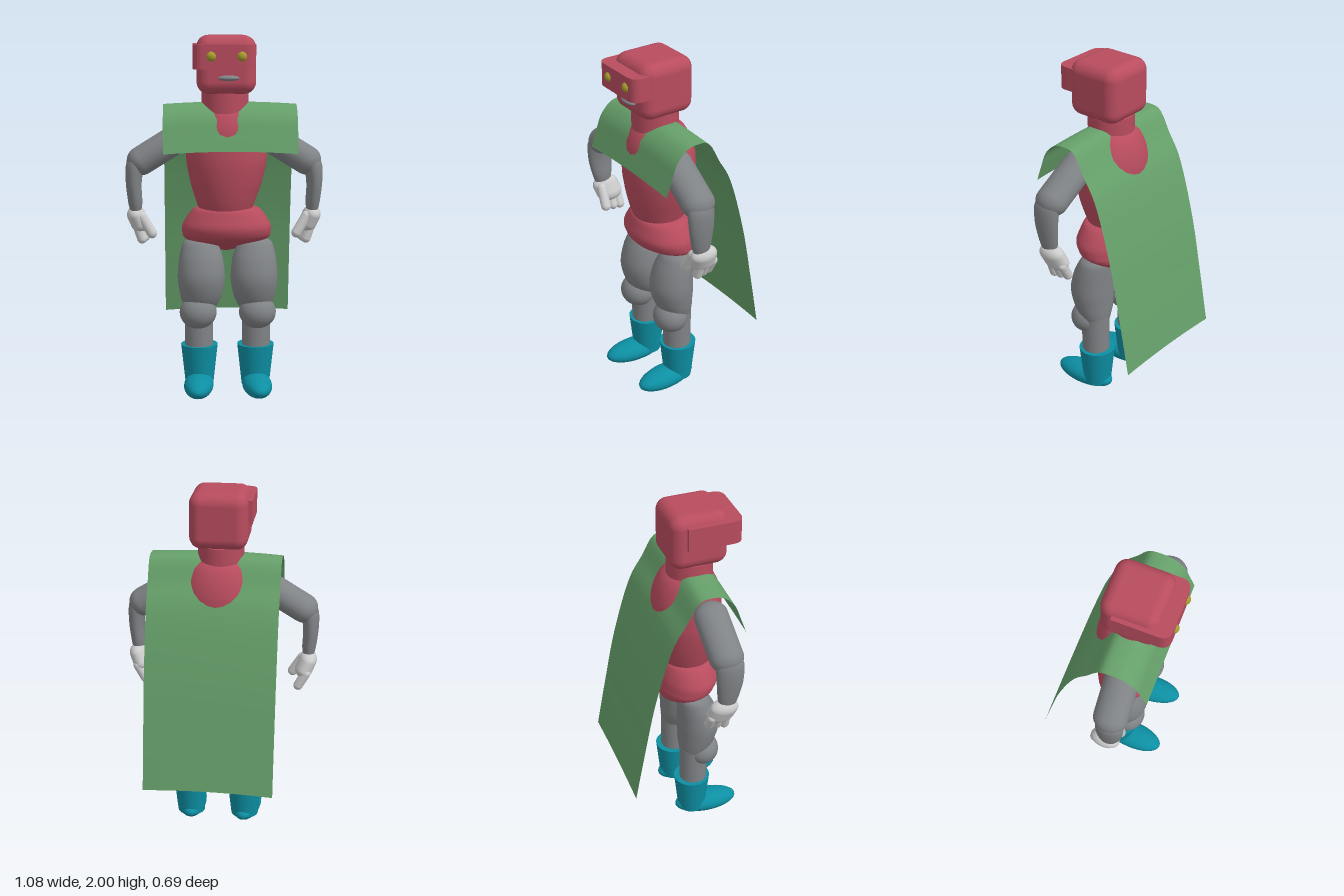
import * as THREE from 'three';
import { RoundedBoxGeometry } from 'three/addons/geometries/RoundedBoxGeometry.js';

const paint = (color, side = THREE.FrontSide) => new THREE.MeshStandardMaterial({ color, side });

// Smooth body through elliptical rings [y, cx, cz, rx, rz], listed bottom to top
function loft(rings, steps = 20, sides = 32) {
  const mid = new THREE.CatmullRomCurve3(rings.map(r => new THREE.Vector3(r[1], r[0], r[2])));
  const rad = new THREE.CatmullRomCurve3(rings.map(r => new THREE.Vector3(r[3], 0, r[4])));
  const pos = [], idx = [];
  for (let i = 0; i <= steps; i++) {
    const c = mid.getPoint(i / steps), r = rad.getPoint(i / steps);
    for (let j = 0; j < sides; j++) {
      const a = j / sides * Math.PI * 2;
      pos.push(c.x + Math.max(r.x, 0.001) * Math.cos(a), c.y, c.z + Math.max(r.z, 0.001) * Math.sin(a));
    }
  }
  for (let i = 0; i < steps; i++) {
    for (let j = 0; j < sides; j++) {
      const a = i * sides + j, b = i * sides + (j + 1) % sides;
      idx.push(a, a + sides, b, b, a + sides, b + sides);
    }
  }
  // end caps
  const n = pos.length / 3;
  const first = rings[0], last = rings[rings.length - 1];
  pos.push(first[1], first[0], first[2], last[1], last[0], last[2]);
  for (let j = 0; j < sides; j++) {
    const k = (j + 1) % sides;
    idx.push(n, j, k, n + 1, steps * sides + k, steps * sides + j);
  }
  const g = new THREE.BufferGeometry();
  g.setAttribute('position', new THREE.Float32BufferAttribute(pos, 3));
  g.setIndex(idx);
  g.computeVertexNormals();
  return g;
}

const ball = (x, y, z, rx, ry, rz) =>
  new THREE.SphereGeometry(1, 32, 20).scale(rx, ry, rz).translate(x, y, z);

// Capsule between two points, widened along z
function capsule(a, b, r, zScale = 1) {
  const p = new THREE.Vector3(...a), q = new THREE.Vector3(...b);
  const dir = q.clone().sub(p), c = p.clone().add(q).multiplyScalar(0.5);
  const turn = new THREE.Quaternion().setFromUnitVectors(new THREE.Vector3(0, 1, 0), dir.clone().normalize());
  return new THREE.CapsuleGeometry(r, dir.length(), 10, 24)
    .applyQuaternion(turn).scale(1, 1, zScale).translate(c.x, c.y, c.z);
}

export function createModel() {
  const model = new THREE.Group();
  model.name = 'capedFigure';
  const red = paint(0xb84c5e), grey = paint(0x808386), pale = paint(0xcccccc);
  const teal = paint(0x0d8fa3), gold = paint(0xa39a2c);
  const green = paint(0x66a06a, THREE.DoubleSide);
  const add = (name, geometry, material, parent = model) => {
    const mesh = new THREE.Mesh(geometry, material);
    mesh.name = name;
    parent.add(mesh);
    return mesh;
  };

  // Head, visor with rounded front corners, eyes and mouth
  add('head', new RoundedBoxGeometry(0.318, 0.31, 0.318, 6, 0.065).translate(0.01, 1.845, 0.1), red);
  const [x0, x1, z0, z1, r] = [-0.17, 0.165, 0.02, 0.328, 0.06];
  const plan = new THREE.Shape();
  plan.moveTo(x0, -z0);
  plan.lineTo(x0, -z1 + r);
  plan.quadraticCurveTo(x0, -z1, x0 + r, -z1);
  plan.lineTo(x1 - r, -z1);
  plan.quadraticCurveTo(x1, -z1, x1, -z1 + r);
  plan.lineTo(x1, -z0);
  const visor = new THREE.ExtrudeGeometry(plan, { depth: 0.13, bevelEnabled: false, curveSegments: 10 });
  add('visor', visor.rotateX(-Math.PI / 2).translate(0, 1.825, 0), red);
  for (const x of [-0.074, 0.088]) add('eye', ball(x, 1.893, 0.317, 0.028, 0.028, 0.028), gold);
  add('mouth', ball(0.02, 1.777, 0.265, 0.058, 0.015, 0.027), grey);

  // Neck, chest and hips
  add('neck', new THREE.CylinderGeometry(0.127, 0.127, 0.13, 32).translate(0.006, 1.63, 0.09), red);
  add('torso', loft([
    [1.03, 0.01, 0.075, 0.14, 0.13], [1.1, 0.01, 0.075, 0.165, 0.155], [1.2, 0.013, 0.075, 0.197, 0.178],
    [1.33, 0.015, 0.075, 0.222, 0.191], [1.43, 0.015, 0.075, 0.222, 0.188], [1.51, 0.015, 0.078, 0.2, 0.173],
    [1.58, 0.012, 0.08, 0.165, 0.14], [1.625, 0.01, 0.085, 0.11, 0.09], [1.64, 0.01, 0.085, 0.01, 0.01],
  ], 28), red);
  add('hips', loft([
    [0.8, 0.015, -0.03, 0.02, 0.015], [0.82, 0.015, -0.025, 0.11, 0.06], [0.86, 0.015, 0.02, 0.2, 0.12],
    [0.9, 0.015, 0.058, 0.243, 0.164], [0.95, 0.015, 0.073, 0.247, 0.172], [1.01, 0.015, 0.074, 0.218, 0.158],
    [1.055, 0.015, 0.075, 0.18, 0.14], [1.07, 0.015, 0.075, 0.12, 0.1],
  ], 28), red);

  // Cape: a side profile swept across the shoulders, slightly raised in the middle
  const drape = new THREE.CatmullRomCurve3([
    [0.285, 1.375], [0.255, 1.46], [0.217, 1.555], [0.155, 1.615], [0.095, 1.628], [0.026, 1.615], [-0.05, 1.49],
    [-0.117, 1.375], [-0.22, 1.03], [-0.286, 0.697], [-0.344, 0.377],
  ].map(([z, y]) => new THREE.Vector3(0, y, z)));
  const cape = new THREE.PlaneGeometry(0.724, 1, 16, 60);
  const cp = cape.attributes.position;
  for (let i = 0; i < cp.count; i++) {
    const x = cp.getX(i), p = drape.getPoint(THREE.MathUtils.clamp(cp.getY(i) + 0.5, 0, 1));
    cp.setXYZ(i, x + 0.031, p.y + 0.013 * (1 - (x / 0.362) ** 2), p.z);
  }
  cape.computeVertexNormals();
  add('cape', cape, green);

  // Arms, hands, legs and boots on both sides
  for (const s of [1, -1]) {
    const side = s > 0 ? 'left' : 'right';
    const arm = new THREE.Group(), leg = new THREE.Group();
    arm.name = side + 'Arm';
    leg.name = side + 'Leg';
    leg.position.x = 0.021;
    model.add(arm, leg);
    const flip = rings => rings.map(([y, x, ...rest]) => [y, x * s, ...rest]);

    add('upperArm', capsule([0.24 * s, 1.455, 0.122], [0.45 * s, 1.325, 0.128], 0.08, 1.17), grey, arm);
    add('forearm', loft(flip([
      [1.04, 0.483, 0.125, 0.03, 0.045], [1.1, 0.486, 0.13, 0.039, 0.06], [1.2, 0.493, 0.135, 0.043, 0.074],
      [1.3, 0.485, 0.135, 0.05, 0.078], [1.37, 0.465, 0.13, 0.035, 0.05], [1.385, 0.46, 0.13, 0.005, 0.01],
    ])), grey, arm);

    const hand = new THREE.Group();
    hand.name = side + 'Hand';
    arm.add(hand);
    add('palm', capsule([0.483 * s, 1.025, 0.108], [0.462 * s, 0.975, 0.1], 0.05, 1.6), pale, hand);
    [0.045, 0.085, 0.125].forEach((z, i) => add('finger',
      capsule([0.475 * s, 0.965, z], [(0.435 + i * 0.008) * s, 0.893, z], 0.027), pale, hand));
    add('thumb', capsule([0.45 * s, 1.02, 0.155], [0.395 * s, 0.93, 0.165], 0.028), pale, hand);

    add('thigh', loft(flip([
      [0.44, 0.16, 0.05, 0.06, 0.055], [0.55, 0.149, 0.085, 0.112, 0.102], [0.67, 0.147, 0.098, 0.131, 0.119],
      [0.78, 0.148, 0.085, 0.121, 0.107], [0.86, 0.153, 0.065, 0.095, 0.084], [0.89, 0.155, 0.06, 0.05, 0.045],
    ])), grey, leg);
    add('knee', ball(0.165 * s, 0.475, 0.117, 0.103, 0.093, 0.096), grey, leg);
    add('shin', new THREE.CylinderGeometry(0.08, 0.078, 0.3, 28).translate(0.16 * s, 0.35, 0.068), grey, leg);
    add('bootShaft', new THREE.CylinderGeometry(0.103, 0.078, 0.23, 32).translate(0.158 * s, 0.165, 0.061), teal, leg);
    const foot = add('foot', ball(0, 0, 0, 0.082, 0.062, 0.184), teal, leg);
    foot.position.set(0.163 * s, 0.065, 0.147);
    foot.rotation.y = 0.06 * s;
  }
  return model;
}
